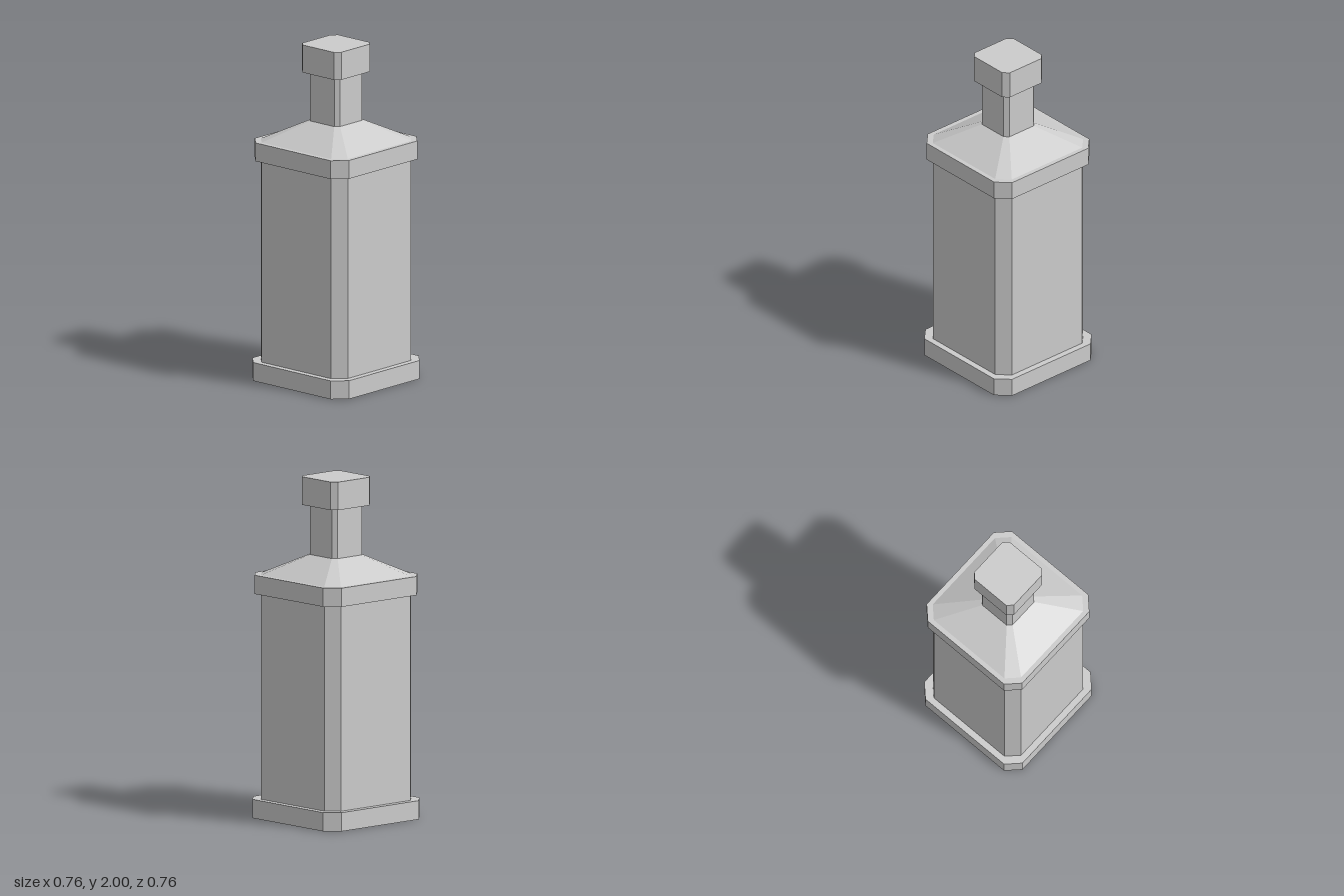
import * as THREE from 'three';

const material = new THREE.MeshStandardMaterial({ color: 0xcccccc, flatShading: true });

// Chamfered square ring: h = half width, f = half length of each flat side
function ring(y, h, f) {
  return [[-f, h], [f, h], [h, f], [h, -f], [f, -h], [-f, -h], [-h, -f], [-h, f]]
    .map(([x, z]) => new THREE.Vector3(x, y, z));
}

// Closed solid between two chamfered square rings
function chamferedBlock(name, [y0, h0, f0], [y1, h1, f1]) {
  const low = ring(y0, h0, f0);
  const high = ring(y1, h1, f1);
  const points = [];
  for (let i = 0; i < 8; i++) {
    const j = (i + 1) % 8;
    points.push(low[i], low[j], high[j], low[i], high[j], high[i]);
    if (i > 0 && i < 7) {
      points.push(high[0], high[i], high[j], low[0], low[j], low[i]);
    }
  }
  const geometry = new THREE.BufferGeometry().setFromPoints(points);
  geometry.computeVertexNormals();
  const mesh = new THREE.Mesh(geometry, material);
  mesh.name = name;
  return mesh;
}

export function createModel() {
  const bottle = new THREE.Group();
  bottle.name = 'bottle';
  bottle.add(
    chamferedBlock('base', [0, 0.378, 0.303], [0.11, 0.378, 0.303]),
    chamferedBlock('body', [0.11, 0.34, 0.272], [1.315, 0.34, 0.272]),
    chamferedBlock('shoulderBand', [1.315, 0.368, 0.294], [1.425, 0.368, 0.294]),
    chamferedBlock('shoulder', [1.425, 0.34, 0.272], [1.543, 0.118, 0.094]),
    chamferedBlock('neck', [1.543, 0.118, 0.094], [1.835, 0.118, 0.094]),
    chamferedBlock('cap', [1.835, 0.153, 0.122], [2, 0.153, 0.122]),
  );
  return bottle;
}
